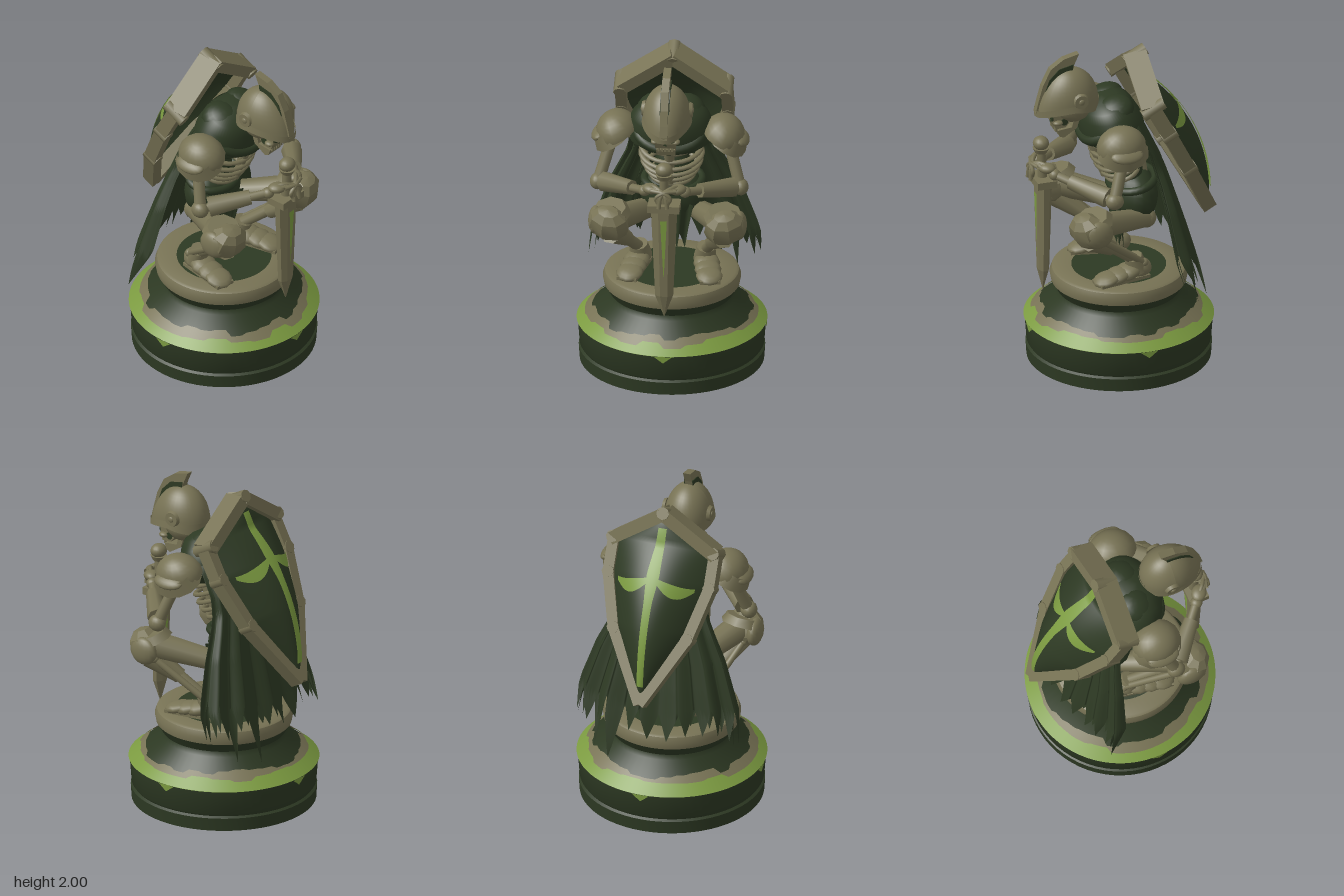
import * as THREE from 'three';
import { toCreasedNormals } from 'three/addons/utils/BufferGeometryUtils.js';
import { ParametricGeometry } from 'three/addons/geometries/ParametricGeometry.js';

const paint = (name, color) => {
  const m = new THREE.MeshStandardMaterial({ color, side: THREE.DoubleSide });
  m.name = name;
  return m;
};
const V = (x, y, z) => new THREE.Vector3(x, y, z);
const UP = V(0, 1, 0);
const hash = (i) => { const s = Math.sin(i * 127.1 + 3.7) * 43758.5453; return s - Math.floor(s); };
const outlineShape = (pts) => new THREE.Shape(pts.map((p) => new THREE.Vector2(...p)));
// piecewise linear lookup through [key, value] pairs
const lerpTable = (table, k) => {
  for (let i = 1; i < table.length; i++) {
    const [a, p] = table[i - 1], [b, q] = table[i];
    if (k <= b) return p + (q - p) * (k - a) / (b - a);
  }
  return table[table.length - 1][1];
};

export function createModel() {
  const bone = paint('weathered bone', 0x777254);
  const dark = paint('dark green', 0x2d3923);
  const bright = paint('moss green', 0x7b9a40);
  const model = new THREE.Group();
  model.name = 'kneelingSkeletonKnight';

  // helpers
  const add = (name, geo, mat, pos = [0, 0, 0], rot = [0, 0, 0], scl = [1, 1, 1], parent = model) => {
    const m = new THREE.Mesh(geo, mat);
    m.name = name;
    m.position.set(...pos); m.rotation.set(...rot); m.scale.set(...scl);
    parent.add(m);
    return m;
  };
  const between = (mesh, a, b) => {
    mesh.position.copy(a).lerp(b, 0.5);
    mesh.quaternion.setFromUnitVectors(UP, b.clone().sub(a).normalize());
    return mesh;
  };
  const limb = (name, a, b, r0, r1, seg = 10) =>
    between(add(name, new THREE.CylinderGeometry(r1, r0, a.distanceTo(b), seg), bone), a, b);
  const ball = (name, p, s, mat = bone, rot = [0, 0, 0]) =>
    add(name, new THREE.SphereGeometry(1, 16, 12), mat, p, rot, s);
  const boneLimb = (name, a, b, r) => {
    limb(name, a, b, r, r);
    for (const p of [a, b]) ball(name + 'Joint', p.toArray(), [r * 1.4, r * 1.3, r * 1.4]);
  };
  const tube = (name, pts, r) =>
    add(name, new THREE.TubeGeometry(new THREE.CatmullRomCurve3(pts), 14, r, 7), bone);
  const sheet = (name, fn, nu, nv, mat, parent = model) =>
    add(name, new ParametricGeometry((u, v, t) => { t.set(...fn(u, v)); }, nu, nv), mat, [0, 0, 0], [0, 0, 0], [1, 1, 1], parent);
  const lathe = (name, pts, mat, ...place) => add(name, toCreasedNormals(
    new THREE.LatheGeometry(pts.map((p) => new THREE.Vector2(...p)), 64), 0.6), mat, ...place);
  const profile = (name, pts, depth, mat) => // side outline given as [z, y]
    add(name, new THREE.ExtrudeGeometry(outlineShape(pts), { depth, bevelEnabled: false }), mat,
      [depth / 2, 0, 0], [0, -Math.PI / 2, 0]);

  // pedestal
  lathe('pedestalDrum', [[0, 0], [0.545, 0], [0.55, 0.08], [0.535, 0.09], [0.545, 0.105], [0.556, 0.25], [0.54, 0.252]], dark);
  lathe('pedestalSlope', [[0.54, 0.252], [0.515, 0.285], [0.375, 0.4], [0.365, 0.43], [0.4, 0.49]], dark);
  lathe('pedestalCollar', [[0.4, 0.488], [0.408, 0.53], [0.395, 0.565], [0.38, 0.575], [0.28, 0.575]], bone);
  lathe('pedestalTop', [[0.29, 0.572], [0, 0.572]], dark);
  const slopeR = (y) => 0.515 - (y - 0.285) * 1.2;
  const band = (name, y0, y1, off, mat) => sheet(name, (u, v) => {
    const a = u * Math.PI * 2, y = y0 + v * (y1(Math.round(u * 96) % 96) - y0), r = slopeR(y) + off;
    return [Math.sin(a) * r, y + 0.004, Math.cos(a) * r];
  }, 96, 3, mat);
  band('wornBand', 0.27, (i) => 0.315 + 0.03 * hash(Math.floor(i / 3)), 0.004, bone);
  band('mossBand', 0.252, (i) => 0.285 + 0.03 * hash(Math.floor(i / 4) + 50), 0.008, bright);
  lathe('mossLedge', [[0.557, 0.251], [0.543, 0.258]], bright);
  // moss drips over the edge of the drum
  for (let i = 0; i < 4; i++) {
    const a = i * Math.PI / 2;
    add('mossDrip', new THREE.ShapeGeometry(outlineShape([[-0.055, 0], [0, -0.042], [0.055, 0]])), bright,
      [Math.sin(a) * 0.56, 0.252, Math.cos(a) * 0.56], [0, a, 0]);
  }

  // torso
  tube('spine', [V(0, 0.98, -0.14), V(0, 1.2, -0.14), V(0, 1.45, -0.04), V(0, 1.6, 0.1), V(0, 1.66, 0.22)], 0.035);
  for (let i = 0; i < 6; i++) {
    const k = i / 5, w = 0.13 + 0.05 * Math.sin(k * 2.4);
    add('rib', new THREE.TorusGeometry(1, 0.1, 6, 28), bone,
      [0, 1.19 + k * 0.25, -0.02 + k * 0.07], [Math.PI / 2 + 0.4, 0, 0], [w, w * 0.8, 0.14]);
  }
  limb('breastbone', V(0, 1.17, 0.09), V(0, 1.42, 0.17), 0.02, 0.035);
  ball('hipCloth', [0, 1.03, -0.09], [0.2, 0.17, 0.14], dark);
  ball('belly', [0, 1.2, -0.06], [0.11, 0.17, 0.08], dark);
  add('belt', new THREE.TorusGeometry(0.17, 0.025, 8, 28), dark, [0, 1.12, -0.08], [Math.PI / 2 + 0.2, 0, 0], [1, 0.8, 1]);
  sheet('loincloth', (u, v) => [(u - 0.5) * (0.26 - 0.08 * v), 1.0 - v * (0.2 + 0.05 * (Math.round(u * 12) % 3)),
    0.03 - 0.03 * v + 0.012 * Math.sin(u * 20)], 12, 4, dark);
  // mantle draped over the shoulders
  lathe('mantle', [[0.19, -0.03], [0.26, 0.04], [0.26, 0.1], [0.23, 0.18], [0.19, 0.23], [0.12, 0.26], [0, 0.27]],
    dark, [0, 1.44, 0.03], [0.3, 0, 0], [1, 1, 0.72]);
  for (const s of [1, -1]) ball('mantleFold', [s * 0.1, 1.63, 0.06], [0.11, 0.08, 0.12], dark, [0.4, 0, s * -0.3]);
  add('scarf', new THREE.TorusGeometry(0.15, 0.035, 10, 32), dark, [0, 1.53, 0.13], [Math.PI / 2 + 0.75, 0, 0], [1.2, 0.85, 1]);

  // skull
  ball('cranium', [0, 1.67, 0.29], [0.11, 0.11, 0.13]);
  profile('face', [[0.3, 1.68], [0.43, 1.66], [0.425, 1.58], [0.41, 1.545], [0.35, 1.55], [0.31, 1.6]], 0.12, bone);
  profile('jaw', [[0.25, 1.62], [0.29, 1.62], [0.31, 1.54], [0.4, 1.53], [0.385, 1.49], [0.36, 1.48], [0.28, 1.53]], 0.11, bone);
  for (const s of [1, -1]) {
    add('eyeSocket', new THREE.CylinderGeometry(0.025, 0.025, 0.008, 12), dark, [s * 0.035, 1.615, 0.43], [Math.PI / 2, 0, 0]);
    add('cheekHollow', new THREE.CylinderGeometry(0.022, 0.022, 0.008, 12), dark, [s * 0.06, 1.585, 0.36], [0, 0, Math.PI / 2]);
    ball('cheekbone', [s * 0.062, 1.585, 0.4], [0.025, 0.016, 0.03]);
  }
  add('noseHole', new THREE.CircleGeometry(0.014, 3), dark, [0, 1.575, 0.428], [0, 0, Math.PI / 2]);
  for (let i = -2; i <= 2; i++) add('tooth', new THREE.BoxGeometry(0.014, 0.03, 0.012), bone, [i * 0.02, 1.538, 0.405]);

  // helmet: half dome with its brow drawn forward and down
  const dome = new THREE.SphereGeometry(1, 32, 12, 0, Math.PI * 2, 0, Math.PI / 2);
  const dp = dome.attributes.position;
  for (let i = 0; i < dp.count; i++) {
    const x = dp.getX(i), y = dp.getY(i), z = dp.getZ(i), f = Math.max(z, 0);
    dp.setXYZ(i, x * 0.142, y * 0.205 - 0.05 * f * f * (1 - y), z * 0.17 + 0.04 * f * f * (1 - y * 0.8));
  }
  dome.computeVertexNormals();
  add('helmet', dome, bone, [0, 1.7, 0.305]);
  sheet('helmetRim', (u, v) => {
    const a = u * Math.PI * 2, x = Math.sin(a), z = Math.cos(a), f = Math.max(z, 0), b = Math.max(-z, 0);
    return [x * (0.143 + 0.006 * v), 1.715 - (0.04 + 0.035 * b) * v - 0.05 * f * f, 0.305 + z * 0.174 + 0.045 * f * f];
  }, 40, 2, bone);
  profile('crest', [[0.255, 1.998], [0.35, 1.975], [0.43, 1.92], [0.48, 1.82], [0.505, 1.73], [0.525, 1.65],
    [0.47, 1.66], [0.42, 1.8], [0.35, 1.87], [0.3, 1.88], [0.285, 1.93]], 0.045, bone);
  profile('crestGroove', [[0.29, 1.935], [0.38, 1.915], [0.44, 1.855], [0.492, 1.71], [0.475, 1.7],
    [0.425, 1.825], [0.37, 1.875], [0.295, 1.9]], 0.056, dark);

  // limbs and armour, mirrored
  for (const s of [1, -1]) {
    const P = (x, y, z) => V(s * x, y, z);
    add('earDisc', new THREE.CylinderGeometry(0.042, 0.05, 0.02, 16), bone, [s * 0.14, 1.74, 0.28], [0, 0, s * -Math.PI / 2]);
    ball('earStud', [s * 0.15, 1.74, 0.28], [0.008, 0.018, 0.018]);

    // legs
    const hip = P(0.12, 0.91, -0.13), knee = P(0.335, 1.01, 0.3), ankle = P(0.19, 0.67, -0.05);
    limb('thigh', hip, knee, 0.058, 0.085);
    ball('hipJoint', hip.toArray(), [0.06, 0.06, 0.06]);
    boneLimb('shinBone', P(0.32, 0.95, 0.29), ankle, 0.034);
    boneLimb('calfBone', P(0.36, 0.93, 0.24), P(0.22, 0.67, -0.08), 0.02);
    limb('greave', P(0.25, 0.81, 0.13), P(0.33, 0.93, 0.29), 0.045, 0.075, 8);
    add('kneeGuard', toCreasedNormals(new THREE.SphereGeometry(1, 8, 6), 0.5), bone,
      [s * 0.345, 0.995, 0.31], [0.4, s * 0.35, 0], [0.13, 0.115, 0.1]);
    add('kneeFlare', new THREE.CylinderGeometry(0.1, 0.125, 0.05, 8), bone, [s * 0.34, 1.055, 0.28], [0.35, 0, s * -0.15]);
    ball('kneeWing', [s * 0.425, 0.995, 0.27], [0.045, 0.085, 0.09]);
    const foot = new THREE.Group();
    foot.name = 'foot';
    foot.position.set(s * 0.2, 0.575, -0.02);
    foot.rotation.y = s * 0.2;
    model.add(foot);
    add('heel', new THREE.SphereGeometry(1, 12, 8), bone, [0, 0.05, -0.04], [0, 0, 0], [0.065, 0.065, 0.08], foot);
    for (let i = 0; i < 3; i++)
      add('bootPlate', new THREE.SphereGeometry(1, 12, 8), bone, [0, 0.045 - i * 0.008, 0.04 + i * 0.07],
        [0.25, 0, 0], [0.08, 0.047 - i * 0.006, 0.085], foot);
    add('sole', new THREE.BoxGeometry(0.12, 0.02, 0.33), bone, [0, 0.01, 0.08], [0, 0, 0], [1, 1, 1], foot);
    limb('ankleCuff', P(0.19, 0.62, -0.05), P(0.2, 0.71, -0.02), 0.07, 0.055);

    // arms
    const shoulder = P(0.34, 1.47, 0.08), elbow = P(0.42, 1.2, 0.17), wrist = P(0.12, 1.28, 0.44);
    boneLimb('collarBone', P(0.05, 1.5, 0.15), shoulder, 0.02);
    boneLimb('upperArm', shoulder, elbow, 0.036);
    boneLimb('forearm', elbow, wrist, 0.026);
    limb('bracer', P(0.38, 1.21, 0.2), P(0.2, 1.26, 0.37), 0.062, 0.045, 8);
    ball('elbowGuard', [s * 0.425, 1.2, 0.17], [0.045, 0.05, 0.055]);
    add('pauldron', new THREE.SphereGeometry(1, 16, 8, 0, Math.PI * 2, 0, Math.PI / 2), bone,
      [s * 0.31, 1.49, 0.09], [0.1, 0, s * -0.45], [0.13, 0.135, 0.15]);
    add('pauldronSkirt', new THREE.CylinderGeometry(0.115, 0.15, 0.08, 12, 1, true), bone,
      [s * 0.35, 1.495, 0.09], [0.1, 0, s * -0.55], [0.9, 1, 1.05]);
    ball('pauldronTip', [s * 0.42, 1.485, 0.09], [0.055, 0.03, 0.1], bone, [0, 0, s * -0.6]);

    // hands folded over the hilt
    ball('palm', [s * 0.08, 1.31, 0.475], [0.055, 0.03, 0.045], bone, [0, s * 0.7, 0]);
    for (let i = 0; i < 4; i++) {
      const d = i * 0.022;
      tube('finger', [P(0.1 - d * 0.4, 1.32, 0.46 + d), P(0.05 - d * 0.8, 1.335 - d * 0.3, 0.51 + d * 0.6),
        P(-0.01 - d * 0.5, 1.3 - d * 0.3, 0.55), P(-0.025, 1.22 + d * 0.4, 0.56 - d * 0.2)], 0.0125);
    }
  }

  // sword, point down: flattened eight-sided blade tapering to the tip
  const blade = (name, r1, r0, y0, y1) => add(name,
    toCreasedNormals(new THREE.CylinderGeometry(r1, r0, y1 - y0, 8).rotateY(Math.PI / 8), 0.3), bone,
    [0, (y0 + y1) / 2, 0.473], [0, 0, 0], [1.04, 1, 0.62]);
  blade('blade', 0.08, 0.055, 0.62, 1.18);
  blade('bladeTip', 0.055, 0.002, 0.48, 0.62);
  const fuller = outlineShape([[0, -0.2], [0.02, 0.19], [-0.02, 0.19]]);
  for (const [z, r] of [[0.516, 0], [0.43, Math.PI]])
    add('fuller', new THREE.ShapeGeometry(fuller), bright, [0, 0.93, z], [r ? -0.026 : 0.026, r, 0]);
  add('guard', new THREE.BoxGeometry(0.19, 0.045, 0.12), bone, [0, 1.2, 0.475]);
  limb('grip', V(0, 1.2, 0.475), V(0, 1.42, 0.485), 0.03, 0.026);
  add('pommelRing', new THREE.CylinderGeometry(0.05, 0.035, 0.03, 12), bone, [0, 1.395, 0.485]);
  ball('pommel', [0, 1.44, 0.485], [0.052, 0.042, 0.048]);

  // ragged cape: a flaring curve with a torn hem
  const cape = (name, count, shrink, lift) => sheet(name, (u, t) => {
    const a = u * 2 - 1, i = Math.min(u * count, count - 0.001), n = Math.floor(i);
    const tooth = 1 - Math.abs((i % 1) - 0.5) * 2;
    const hem = 0.72 + lift - 0.15 * tooth + 0.09 * hash(n) - 0.1 * Math.abs(a) ** 3 * tooth - (n === 8 ? 0.16 * tooth : 0);
    const d = (1.68 - hem) * t;
    const w = lerpTable([[0, 0.17], [0.15, 0.25], [0.4, 0.28], [0.65, 0.4], [0.95, 0.5], [1.3, 0.54]], d) - shrink;
    const back = lerpTable([[0, -0.06], [0.4, -0.24], [0.8, -0.36], [1.3, -0.5]], d) + shrink;
    const side = lerpTable([[0, 0.08], [0.3, -0.1], [0.5, -0.14], [0.95, -0.18], [1.2, -0.26]], d);
    const fold = 0.016 * Math.sin(a * 20) * t;
    return [Math.sin(a * 1.5) * (w + fold), 1.68 - d, side + (back - side) * Math.cos(a * 1.5) - fold];
  }, count * 12, 24, dark);
  cape('cape', 13, 0, 0);
  cape('capeLining', 11, 0.035, 0.03);

  // shield slung on the back
  const shield = new THREE.Group();
  shield.name = 'shield';
  shield.position.set(0, 0.87, -0.545);
  shield.rotation.x = 0.49;
  model.add(shield);
  const H = 1.14;
  const outline = [[0, 0.002], [0.42, 0.23], [0.74, 0.315], [0.95, 0.315], [H, 0.002]];
  const lean = (v) => -0.095 * Math.max(0, (v - 0.95) / (H - 0.95));
  const bulge = (x, v, off = 0) => {
    const w = lerpTable(outline, v);
    return lean(v) - 0.18 * Math.pow(Math.max(0, Math.sin(Math.PI * v / H)), 0.7) * Math.max(0, 1 - (x / w) ** 2) - off;
  };
  sheet('shieldPanel', (u, t) => {
    const v = t * H, x = (u * 2 - 1) * lerpTable(outline, v);
    return [x, v, bulge(x, v)];
  }, 24, 30, dark, shield);
  for (const s of [1, -1]) {
    outline.slice(1).forEach(([v, x], i) => {
      const [v0, x0] = outline[i], top = i === 3;
      const a = V(s * x0, v0, lean(v0) - 0.01), b = V(s * x, v, lean(v) - 0.01);
      const g = new THREE.BoxGeometry(top ? 0.075 : 0.065, a.distanceTo(b) + 0.01, top ? 0.14 : 0.085);
      shield.add(between(add('shieldFrame', g, bone), a, b));
      add('frameJoint', new THREE.CylinderGeometry(0.038, 0.038, i > 1 ? 0.145 : 0.095, 8), bone,
        b.toArray(), [Math.PI / 2, 0, 0], [1, 1, 1], shield);
    });
    // curved arms of the emblem
    sheet('emblemArm', (u, t) => {
      const x = s * (0.015 + 0.225 * u);
      const v = 0.745 - 0.07 * Math.sin(Math.PI * u * 0.75) + 0.02 * u + (t - 0.5) * (0.02 + 0.06 * Math.sin(Math.PI * u));
      return [x, v, bulge(x, v, 0.008)];
    }, 14, 3, bright, shield);
  }
  sheet('emblemStem', (u, t) => {
    const v = 0.1 + t * 0.95, x = (u - 0.5) * lerpTable([[0.1, 0.04], [0.6, 0.05], [0.76, 0.08], [0.95, 0.055], [1.1, 0.05]], v);
    return [x, v, bulge(x, v, 0.012)];
  }, 4, 24, bright, shield);
  return model;
}
